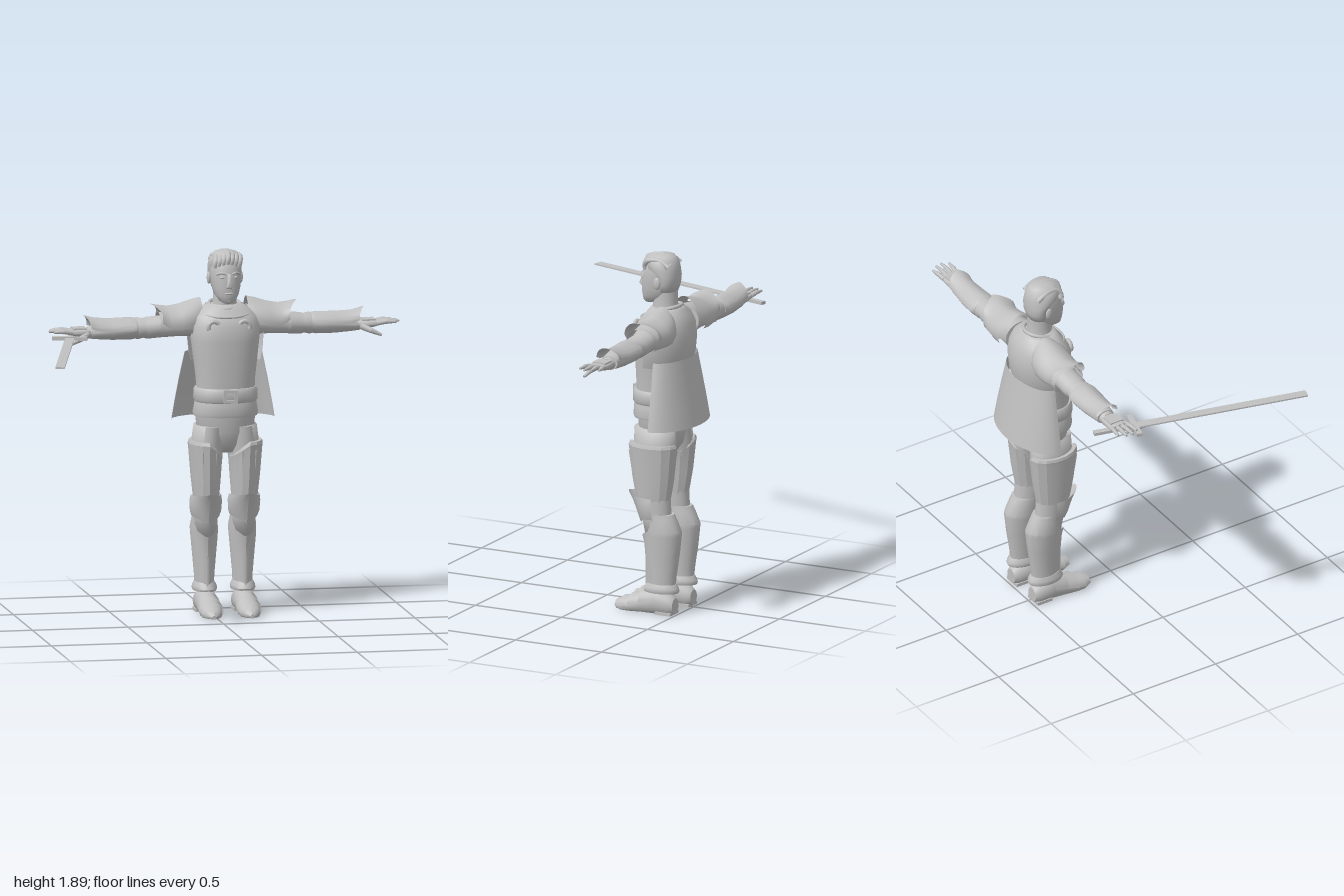
import * as THREE from 'three';
import { toCreasedNormals, mergeVertices } from 'three/addons/utils/BufferGeometryUtils.js';

const steel = new THREE.MeshStandardMaterial({ color: 0xc0c0c0, side: THREE.DoubleSide });
steel.name = 'light grey';

// Skin through elliptical rings. Row: [position on axis, centre a, centre b, radius a, radius b].
// Axis y: a = x, b = z, angle 0 is the front. Axis x: a = y, b = z, angle 0 is the top.
// Axis z: a = y, b = x, angle 0 is +x.
function loft(rows, { axis = 'y', n = 24, from = 0, to = Math.PI * 2, pow = 2, ridge = 0, crease = 0.7, warp } = {}) {
  const closed = to - from > 6.28, cols = closed ? n : n + 1;
  const pos = [], idx = [], p = new THREE.Vector3();
  const push = (x, y, z) => {
    p.set(x, y, z);
    if (warp) warp(p);
    pos.push(p.x, p.y, p.z);
  };
  const place = (s, a, b) => axis === 'y' ? push(a, s, b) : axis === 'x' ? push(s, a, b) : push(b, a, s);
  const bend = v => Math.sign(v) * Math.abs(v) ** (2 / pow);
  for (const [s, a, b, ra, rb] of rows) {
    for (let j = 0; j < cols; j++) {
      const t = from + (to - from) * j / n;
      const k = 1 + ridge * Math.max(0, Math.cos(t)) ** 10;
      const c = bend(Math.cos(t)) * k, d = bend(Math.sin(t));
      if (axis === 'y') place(s, a + ra * d, b + rb * c);
      else if (axis === 'x') place(s, a + ra * c, b + rb * d);
      else place(s, a + ra * d, b + rb * c);
    }
  }
  const last = (rows.length - 1) * cols;
  for (let i = 0; i < rows.length - 1; i++) for (let j = 0; j < n; j++) {
    const k = (j + 1) % cols, a = i * cols + j, b = i * cols + k;
    idx.push(a, b, b + cols, a, b + cols, a + cols);
  }
  if (closed) {
    const e = rows.length * cols, r = rows[rows.length - 1];
    place(rows[0][0], rows[0][1], rows[0][2]);
    place(r[0], r[1], r[2]);
    for (let j = 0; j < n; j++) {
      const k = (j + 1) % n;
      idx.push(e, k, j, e + 1, last + j, last + k);
    }
  }
  const g = new THREE.BufferGeometry();
  g.setAttribute('position', new THREE.Float32BufferAttribute(pos, 3));
  g.setIndex(idx);
  return toCreasedNormals(g, crease);
}

const ball = (x, y, z, rx, ry, rz) => new THREE.SphereGeometry(1, 18, 12).scale(rx, ry, rz).translate(x, y, z);
const box = (x, y, z, w, h, d) => new THREE.BoxGeometry(w, h, d).translate(x, y, z);

// Tapered rod between two points
function rod(a, b, r1, r2) {
  const A = new THREE.Vector3(...a), B = new THREE.Vector3(...b), dir = B.clone().sub(A);
  const q = new THREE.Quaternion().setFromUnitVectors(new THREE.Vector3(0, 1, 0), dir.clone().normalize());
  const mid = A.add(B).multiplyScalar(0.5);
  return new THREE.CylinderGeometry(r2, r1, dir.length(), 10).applyQuaternion(q).translate(mid.x, mid.y, mid.z);
}
const tube = (pts, r) => new THREE.TubeGeometry(
  new THREE.CatmullRomCurve3(pts.map(p => new THREE.Vector3(...p))), 16, r, 8);

function mirrored(geo) {
  const g = (geo.index ? geo.toNonIndexed() : geo.clone()).scale(-1, 1, 1);
  for (const a of Object.values(g.attributes)) for (let i = 0; i < a.count; i += 3)
    for (let k = 0; k < a.itemSize; k++) {
      const v = a.getComponent(i + 1, k);
      a.setComponent(i + 1, k, a.getComponent(i + 2, k));
      a.setComponent(i + 2, k, v);
    }
  return g;
}

export function createModel() {
  const model = new THREE.Group(), body = new THREE.Group();
  model.name = 'knight';
  body.name = 'body';
  body.position.x = 0.08;
  model.add(body);
  const add = (name, geo, parent = body) => {
    const m = new THREE.Mesh(geo, steel);
    m.name = name;
    parent.add(m);
    return m;
  };
  const pair = (name, geo) => { add(name + 'Left', geo); add(name + 'Right', mirrored(geo)); };

  // Head and face
  add('head', loft([[1.618, 0, -.295, .022, .026], [1.63, 0, -.312, .042, .053], [1.66, 0, -.335, .062, .08],
    [1.70, 0, -.348, .073, .096], [1.75, 0, -.355, .08, .1], [1.80, 0, -.36, .082, .099],
    [1.84, 0, -.365, .073, .085], [1.865, 0, -.365, .045, .055]], { crease: 1.5, pow: 2.2 }));
  add('nose', loft([[1.698, 0, -.254, .014, .008], [1.71, 0, -.252, .017, .022], [1.718, 0, -.252, .013, .021],
    [1.745, 0, -.256, .009, .013], [1.775, 0, -.262, .009, .006]], { n: 12, crease: 1.5 }));
  add('lips', ball(0, 1.672, -.259, .024, .007, .01));
  add('chin', ball(0, 1.635, -.28, .025, .02, .022));
  pair('eye', ball(.032, 1.755, -.268, .015, .007, .01));
  pair('brow', tube([[.013, 1.772, -.256], [.035, 1.779, -.262], [.06, 1.77, -.285]], .006));
  pair('ear', ball(.084, 1.74, -.375, .01, .032, .02));
  add('neck', loft([[1.53, 0, -.395, .085, .08], [1.58, 0, -.385, .066, .068], [1.63, 0, -.38, .06, .065],
    [1.70, 0, -.385, .06, .062]], { crease: 1.5 }));

  // Hair: cap pulled in over the face, with swept locks
  add('hair', loft([[1.69, 0, -.395, .066, .05], [1.73, 0, -.405, .079, .052], [1.77, 0, -.4, .086, .06],
    [1.81, 0, -.37, .089, .088], [1.85, 0, -.362, .082, .088], [1.875, 0, -.365, .058, .066],
    [1.885, 0, -.37, .025, .03]], { crease: 1.5 }));
  for (let i = -3; i <= 3; i++) {
    const x = i * .021, drop = Math.abs(i) * .006;
    add('hairLock', tube([[x - .008, 1.822 - drop, -.278 - drop], [x, 1.85 - drop, -.276 - drop],
      [x + .006, 1.871 - drop, -.32], [x, 1.873 - drop, -.38], [x, 1.845 - drop, -.432]], .014));
  }

  // Torso
  add('breastplate', loft([[1.15, 0, -.36, .15, .115], [1.22, 0, -.36, .152, .118], [1.32, 0, -.365, .164, .126],
    [1.42, 0, -.37, .176, .132], [1.50, 0, -.375, .18, .135], [1.545, 0, -.385, .165, .12],
    [1.58, 0, -.39, .13, .095], [1.605, 0, -.39, .085, .078]], { pow: 2.3, n: 36, crease: 1 }));
  add('collar', new THREE.TorusGeometry(.08, .01, 8, 28).rotateX(Math.PI / 2 + .2).translate(0, 1.6, -.385));
  add('chestSeam', tube([[-.11, 1.555, -.305], [-.05, 1.548, -.268], [.05, 1.548, -.268], [.11, 1.555, -.305]], .006));
  pair('clasp', new THREE.TorusGeometry(.028, .011, 8, 14, Math.PI).rotateZ(-.5).translate(.08, 1.5, -.256));
  add('belt', loft([[1.105, 0, -.36, .158, .13], [1.115, 0, -.36, .165, .136], [1.165, 0, -.36, .163, .135],
    [1.178, 0, -.36, .155, .127]], { pow: 2.3, n: 36 }));
  add('skirt', loft([[1.03, 0, -.362, .164, .13], [1.045, 0, -.362, .168, .134], [1.09, 0, -.36, .16, .13],
    [1.12, 0, -.36, .155, .124]], { pow: 2.3, n: 36 }));
  const frame = new THREE.Shape([[-.036, -.034], [.036, -.034], [.036, .034], [-.036, .034]].map(p => new THREE.Vector2(...p)));
  frame.holes.push(new THREE.Path([[-.02, -.018], [-.02, .018], [.02, .018], [.02, -.018]].map(p => new THREE.Vector2(...p))));
  add('buckle', new THREE.ExtrudeGeometry(frame, { depth: .02, bevelEnabled: false }).translate(0, 1.143, -.232));
  add('pelvis', loft([[.84, 0, -.37, .05, .07], [.88, 0, -.37, .11, .1], [.95, 0, -.367, .15, .115],
    [1.06, 0, -.362, .157, .118]], { crease: 1.5 }));

  // Cape: fitted upper back and flared lower panel
  const back = { from: Math.PI / 2, to: Math.PI * 1.5, n: 32, crease: 1.2 };
  add('capeYoke', loft([[1.31, 0, -.345, .178, .165], [1.36, 0, -.35, .192, .178], [1.45, 0, -.36, .2, .175],
    [1.52, 0, -.375, .188, .15], [1.57, 0, -.385, .15, .12], [1.60, 0, -.39, .1, .09]], back));
  add('cape', loft([[1.0, 0, -.42, .27, .165], [1.1, 0, -.42, .253, .148], [1.22, 0, -.42, .23, .125],
    [1.35, 0, -.415, .202, .108]], back));

  // Arms
  const X = { axis: 'x' };
  pair('arm', loft([[.12, 1.51, -.42, .08, .09], [.24, 1.505, -.42, .07, .078], [.33, 1.487, -.42, .056, .066],
    [.40, 1.482, -.42, .056, .066], [.42, 1.482, -.42, .05, .06], [.45, 1.482, -.42, .057, .066], [.47, 1.482, -.42, .05, .058],
    [.53, 1.48, -.42, .052, .06], [.63, 1.472, -.42, .042, .048], [.71, 1.467, -.418, .03, .038]], { ...X, crease: 1.2 }));
  pair('forearmSleeve', loft([[.455, 1.483, -.42, .052, .066], [.48, 1.483, -.42, .057, .072], [.58, 1.476, -.42, .05, .066],
    [.69, 1.47, -.42, .036, .05]], X));
  const peak = start => p => { p.x -= .5 * Math.max(0, p.x - start) * Math.min(1, Math.abs(p.z + .42) / .09); };
  pair('forearmGuard', loft([[.465, 1.482, -.42, .05, .078], [.49, 1.48, -.42, .055, .079], [.58, 1.478, -.42, .055, .073],
    [.67, 1.482, -.42, .055, .064], [.735, 1.497, -.42, .056, .066]], { ...X, from: -1.6, to: 1.6, ridge: .1, warp: peak(.64) }));
  pair('pauldron', loft([[.12, 1.525, -.425, .1, .08], [.165, 1.515, -.425, .1, .104], [.23, 1.505, -.425, .09, .106],
    [.29, 1.502, -.423, .084, .1], [.345, 1.513, -.42, .08, .098], [.385, 1.53, -.42, .07, .1]],
    { ...X, from: -1.75, to: 1.75, ridge: .08, warp: peak(.28) }));
  pair('shoulderLame', loft([[.17, 1.505, -.425, .09, .1], [.23, 1.497, -.425, .08, .1], [.31, 1.49, -.42, .07, .083],
    [.34, 1.49, -.42, .072, .086]], { ...X, from: -2.1, to: 2.1 }));

  // Hands
  pair('palm', loft([[.69, 1.467, -.418, .028, .036], [.73, 1.468, -.415, .024, .045], [.78, 1.472, -.413, .019, .05],
    [.815, 1.476, -.413, .014, .046]], { ...X, pow: 2.6, crease: 1.2 }));
  pair('handPlate', box(.755, 1.492, -.415, .07, .008, .075));
  [.885, .908, .915, .895].forEach((tip, i) => {
    const z = -.453 + i * .027, spread = (i - 1.5) * .008, mid = .8 + (tip - .8) * .5;
    pair('fingerBase', rod([.795, 1.475, z], [mid, 1.484, z + spread * .6], .0125, .011));
    pair('fingerTip', rod([mid - .004, 1.483, z + spread * .6], [tip, 1.482, z + spread], .0115, .006));
  });
  pair('thumbBase', rod([.715, 1.462, -.385], [.765, 1.44, -.352], .018, .014));
  pair('thumbTip', rod([.76, 1.442, -.354], [.815, 1.418, -.343], .014, .007));

  // Legs
  pair('thigh', loft([[.58, .1, -.37, .058, .08], [.75, .1, -.37, .072, .108], [.88, .092, -.37, .084, .118],
    [.98, .08, -.367, .082, .115]], { crease: 1.5 }));
  pair('thighPlate', loft([[.60, .1, -.365, .066, .094], [.72, .103, -.365, .076, .115], [.86, .105, -.365, .085, .13],
    [.885, .105, -.365, .088, .134], [.9, .105, -.365, .084, .128]], { n: 14, crease: .35, ridge: .04,
    warp: p => { p.y -= .08 * (p.y - .6) / .3 * Math.max(0, Math.min(1, (.1 - p.x) / .085)); } }));
  for (const x of [.075, .13]) pair('thighRib', rod([x, .63, -.279], [x + (x - .1) * .3, .855, -.246], .005, .005));
  pair('knee', loft([[.40, .1, -.4, .056, .075], [.5, .1, -.385, .062, .08], [.62, .1, -.37, .064, .088]], { crease: 1.5 }));
  pair('kneeGuard', loft([[.47, .1, -.385, .072, .085], [.53, .1, -.38, .08, .098], [.585, .1, -.375, .083, .115],
    [.635, .1, -.37, .076, .137]], { from: -1.7, to: 1.7, n: 14, crease: .4, ridge: .07,
    warp: p => { const side = Math.abs(p.x - .1) / .08; p.y += (p.y < .5 ? .04 : p.y > .6 ? -.02 : 0) * side; } }));
  pair('greave', loft([[.13, .1, -.415, .05, .073], [.2, .1, -.418, .052, .076], [.32, .1, -.424, .062, .088],
    [.42, .1, -.425, .071, .097], [.44, .1, -.425, .072, .097], [.50, .1, -.408, .064, .088], [.53, .1, -.395, .062, .085]],
    { n: 16, crease: .5, ridge: .05 }));
  pair('shinPlate', loft([[.14, .1, -.41, .045, .078], [.28, .1, -.415, .058, .088], [.39, .1, -.415, .069, .094],
    [.43, .1, -.41, .068, .1]], { from: -1.2, to: 1.2, n: 12, ridge: .06, crease: .4,
    warp: p => { if (p.y > .35) p.y += .05 * (Math.abs(p.x - .1) / .07 - .7); } }));
  pair('shinStrap', box(.1, .24, -.327, .008, .19, .012));
  pair('ankleBand', loft([[.115, .1, -.41, .06, .096], [.125, .1, -.41, .064, .1], [.14, .1, -.412, .062, .094],
    [.16, .1, -.413, .053, .08]]));

  // Feet with overlapping plates
  const flat = p => { p.y = Math.max(0, p.y); };
  const sole = [[-.49, .045, .1, .04, .036], [-.465, .05, .1, .06, .05], [-.38, .06, .1, .072, .054], [-.31, .045, .1, .06, .055],
    [-.25, .03, .1, .048, .06], [-.2, .02, .1, .038, .053], [-.165, .014, .1, .024, .033], [-.145, .01, .1, .01, .01]];
  pair('foot', loft(sole, { axis: 'z', warp: flat }));
  for (let i = 2; i < 6; i++) {
    const [s, y, x, h, w] = sole[i], [s2, y2, , h2, w2] = sole[i + 1];
    pair('footPlate', loft([[s, y, x, h + .001, w + .001], [s2 + .006, y2 + .004, x, h2 + .007, w2 + .006]],
      { axis: 'z', from: 0, to: Math.PI, n: 12, crease: .5, warp: flat }));
  }
  pair('heelSole', box(.1, .008, -.44, .095, .016, .09));

  // Sword beside the right hand
  const sword = new THREE.Group();
  sword.name = 'sword';
  sword.position.set(-.685, 1.455, -.54);
  sword.rotation.y = -.25;
  model.add(sword);
  add('grip', box(0, 0, .11, .03, .016, .22), sword);
  add('crossguard', box(0, 0, .22, .18, .018, .03), sword);
  add('blade', loft([[.23, 0, 0, .006, .025], [1.15, 0, 0, .005, .024]], { axis: 'z', n: 4, pow: 2 }), sword);
  add('bladeFlat', box(0, 0, .69, .048, .008, .92), sword);
  return model;
}
